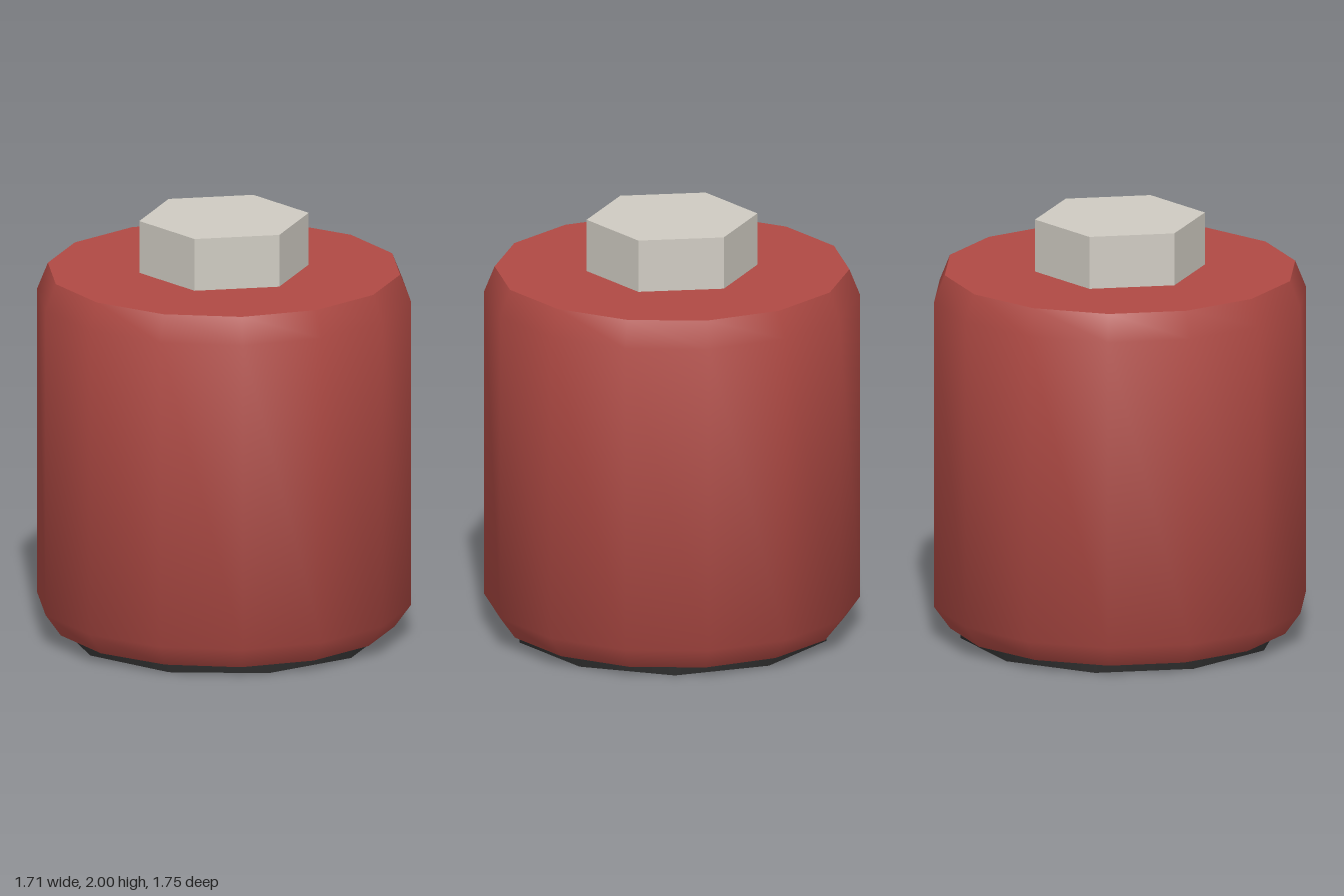
import * as THREE from 'three';
import { toCreasedNormals } from 'three/addons/utils/BufferGeometryUtils.js';

export function createModel() {
  const group = new THREE.Group();

  const material = (name, color) => {
    const m = new THREE.MeshStandardMaterial({ color });
    m.name = name;
    return m;
  };
  const red = material('red paint', 0xb04a44);
  const metal = material('pale metal', 0xcfcbc2);
  const rubber = material('black rubber', 0x2a2a2a);

  const add = (name, geometry, mat, y = 0) => {
    const mesh = new THREE.Mesh(geometry, mat);
    mesh.name = name;
    mesh.position.y = y;
    group.add(mesh);
  };

  // Canister: 14 sides, chamfered at both ends, closed, smooth around the wall
  const profile = [[0, 0.05], [0.8, 0.05], [0.875, 0.155], [0.875, 1.625], [0.825, 1.75], [0, 1.75]]
    .map(([r, y]) => new THREE.Vector2(r, y));
  add('canisterBody', toCreasedNormals(new THREE.LatheGeometry(profile, 14), 0.75), red);

  // Sealing gasket under the canister
  add('gasket', new THREE.CylinderGeometry(0.75, 0.75, 0.07, 10), rubber, 0.035);

  // Hexagonal nut on top, sharp edges
  add('hexNut', toCreasedNormals(new THREE.CylinderGeometry(0.4, 0.4, 0.27, 6), 0.5), metal, 1.865);

  return group;
}
